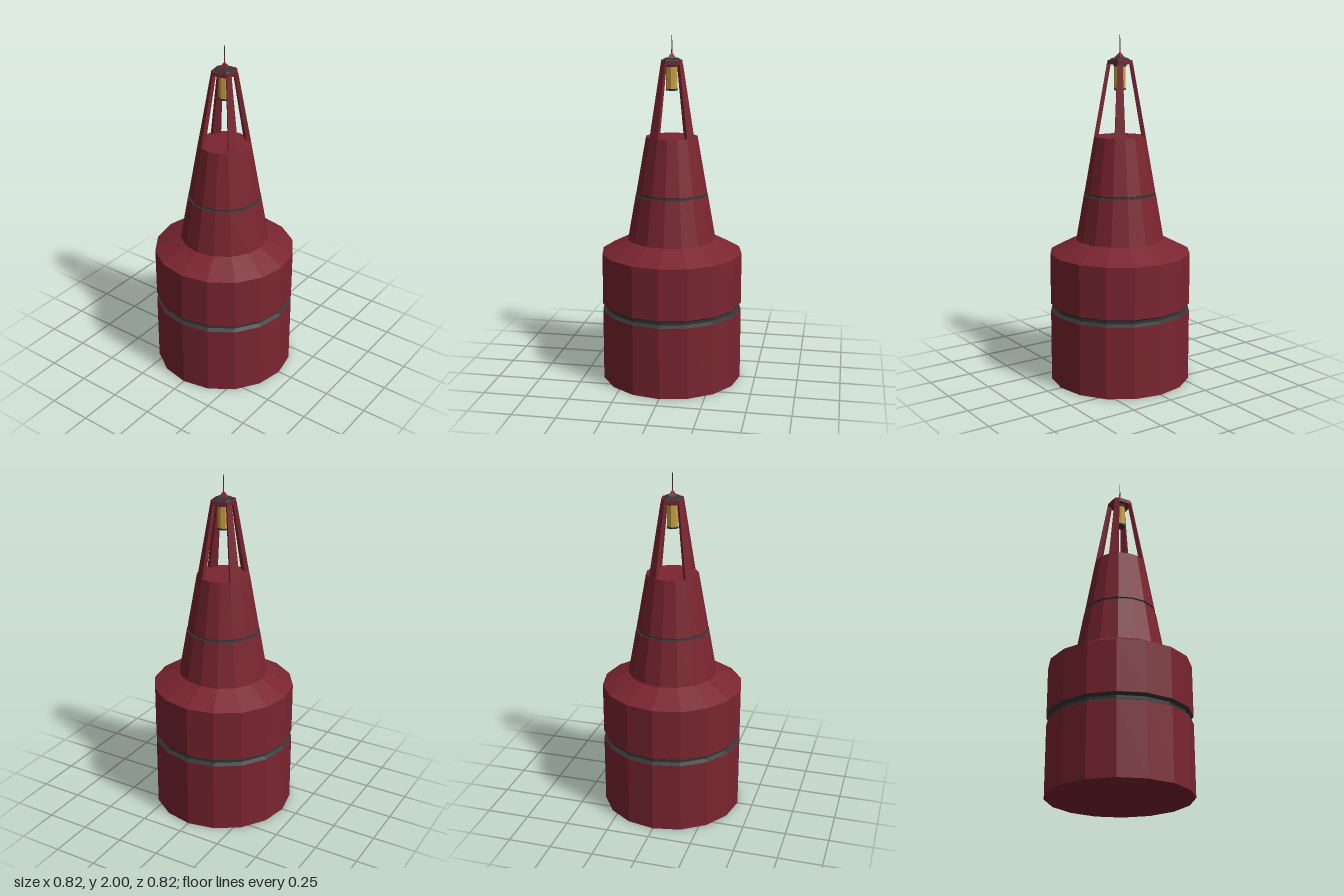
import * as THREE from 'three';
import { ConvexGeometry } from 'three/addons/geometries/ConvexGeometry.js';

const SIDES = 16;
const mat = (color) => new THREE.MeshStandardMaterial({ color, flatShading: true });
const polar = (r, deg, y) => {
  const a = THREE.MathUtils.degToRad(deg);
  return new THREE.Vector3(r * Math.sin(a), y, r * Math.cos(a));
};

export function createModel() {
  const group = new THREE.Group();
  const red = mat(0x7a2530), dark = mat(0x333535), gold = mat(0xc9a040);

  const add = (name, geometry, material, parent = group) => {
    const mesh = new THREE.Mesh(geometry, material);
    mesh.name = name;
    parent.add(mesh);
    return mesh;
  };
  // faceted turned part from [radius, height] pairs, bottom to top
  const turned = (name, points, material, sides = SIDES) =>
    add(name, new THREE.LatheGeometry(points.map((p) => new THREE.Vector2(...p)), sides), material);
  // square with cut corners, aligned with the posts; levels are [radius, height]
  const cornerAngles = [0, 1, 2, 3].flatMap((i) => [45 + 90 * i, 67.5 + 90 * i]);
  const cutSquare = (name, levels, material) =>
    add(name, new ConvexGeometry(levels.flatMap(([r, y]) => cornerAngles.map((a) => polar(r, a, y)))), material);

  // float drum, split by a dark recessed band
  turned('lowerFloat', [[0, 0], [0.41, 0], [0.41, 0.417], [0.395, 0.417]], red);
  turned('floatBand', [[0.408, 0.417], [0.388, 0.43], [0.388, 0.447], [0.408, 0.46]], dark);
  turned('upperFloat', [[0.395, 0.46], [0.41, 0.46], [0.41, 0.758], [0.258, 0.835]], red);

  // tapering tower with a thin dark seam
  turned('lowerTower', [[0.258, 0.835], [0.211, 1.096]], red);
  turned('towerSeam', [[0.211, 1.096], [0.201, 1.099], [0.2, 1.108], [0.207, 1.111]], dark);
  turned('upperTower', [[0.207, 1.111], [0.15, 1.43], [0, 1.43]], red);

  // four posts that carry on the tower's taper
  const posts = new THREE.Group();
  posts.name = 'posts';
  group.add(posts);
  for (let i = 0; i < 4; i++) {
    const corners = [];
    for (const angle of [45 + 90 * i, 67.5 + 90 * i]) {
      corners.push(polar(0.15, angle, 1.43), polar(0.125, angle, 1.43));
      corners.push(polar(0.074, angle, 1.845), polar(0.052, angle, 1.845));
    }
    add('post' + (i + 1), new ConvexGeometry(corners), red, posts);
  }

  // roof plate, dark cap and pointed finial
  cutSquare('roofPlate', [[0.072, 1.838], [0.072, 1.86]], red);
  cutSquare('roofCap', [[0.06, 1.859], [0.057, 1.865], [0.037, 1.874]], dark);
  const finial = add('finial', new THREE.CylinderGeometry(0.004, 0.032, 0.03, 4), red);
  finial.position.y = 1.887;
  finial.rotation.y = THREE.MathUtils.degToRad(56.25);
  turned('mastBase', [[0.004, 1.895], [0.003, 1.955]], red, 6);
  turned('mastTip', [[0.003, 1.955], [0.0015, 2], [0, 2]], dark, 6);

  // hanging lantern
  turned('lanternMount', [[0, 1.825], [0.037, 1.825], [0.037, 1.84]], dark, 8);
  turned('lanternGlass', [[0.033, 1.7], [0.033, 1.827]], gold, 8);
  turned('lanternBase', [[0, 1.692], [0.033, 1.692], [0.035, 1.702], [0, 1.702]], dark, 8);

  return group;
}
